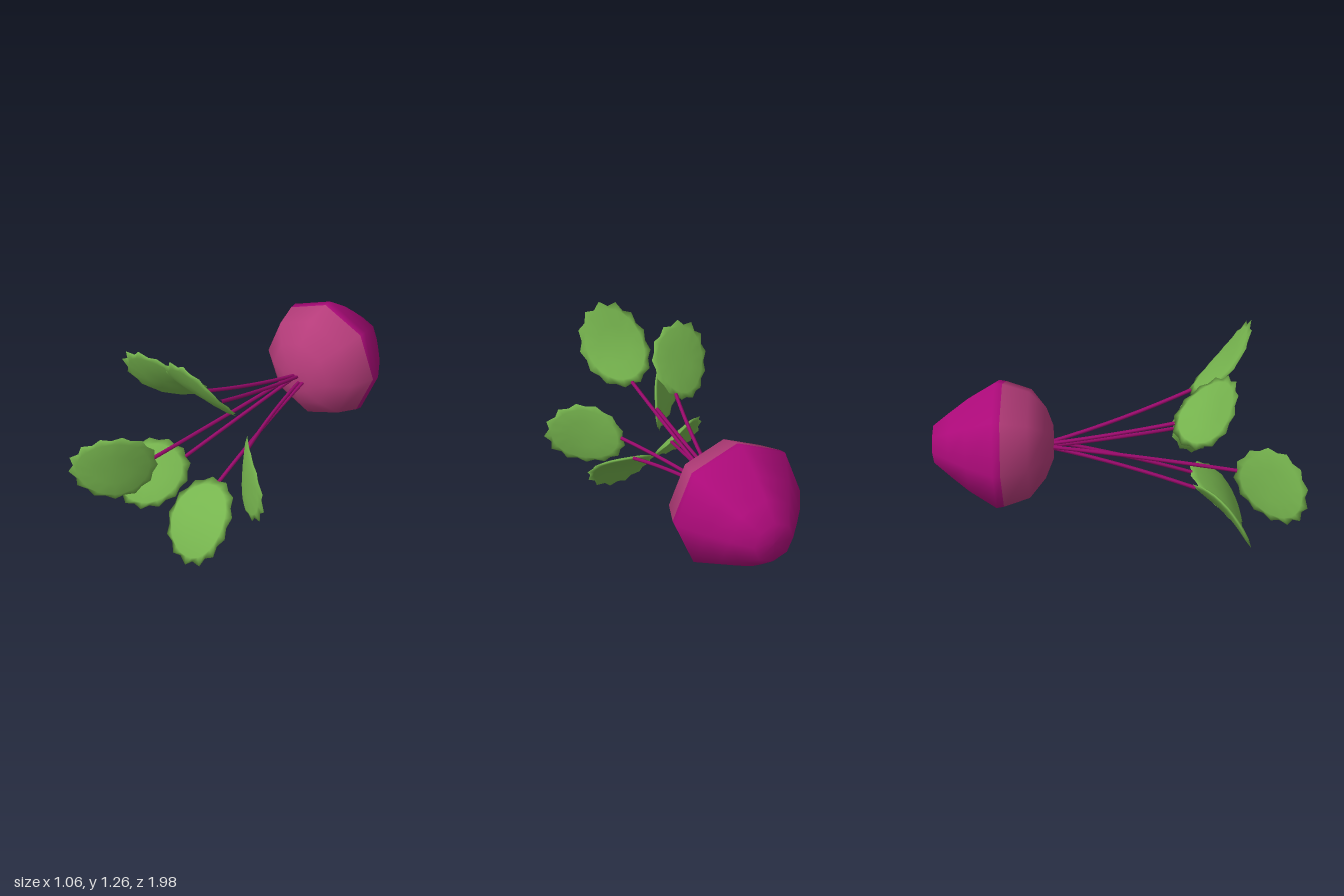
import * as THREE from 'three';

const V = (a) => new THREE.Vector3(...a);
const mat = (color, extra = {}) => {
  const m = new THREE.MeshStandardMaterial({ color, ...extra });
  return m;
};

// Eight-sided turned section of the root, lying along z; points are [radius, z]
function rootSection(name, profile, material) {
  const geo = new THREE.LatheGeometry(profile.map(([r, z]) => new THREE.Vector2(r, z)), 8);
  geo.rotateX(Math.PI / 2);
  const mesh = new THREE.Mesh(geo, material);
  mesh.name = name;
  mesh.position.set(-0.06, 0.62, 0);
  return mesh;
}

// Toothed, slightly puffed leaf that curls outward from base to tip
function leafGeometry(base, tip, across, width) {
  const teeth = 13, n = teeth * 2, bow = 0.04;
  const axis = tip.clone().sub(base);
  const length = axis.length();
  axis.normalize();
  const side = across.clone().addScaledVector(axis, -across.dot(axis)).normalize();
  const up = new THREE.Vector3().crossVectors(side, axis);
  if (up.z < 0) { up.negate(); side.negate(); }

  const pos = [], idx = [];
  const add = (k, i, lift) => {
    const a = (i / n) * Math.PI * 2;
    const t = 0.5 - 0.5 * Math.cos(a) * k;
    const v = Math.sin(a) * k * width / 2;
    const p = base.clone().addScaledVector(axis, t * length).addScaledVector(side, v)
      .addScaledVector(up, 4 * bow * t * (1 - t) + lift);
    pos.push(p.x, p.y, p.z);
  };
  // Outline: alternating tooth and notch, milder near the stem
  for (let i = 0; i < n; i++) {
    const depth = 0.07 + 0.05 * (1 - Math.cos((i / n) * Math.PI * 2)) / 2;
    add(i % 2 ? 1.03 : 1.03 - depth, i, 0);
  }
  // Inner rings and centre of both faces share the outline
  for (const s of [1, -1]) {
    const rings = [0];
    for (const [k, h] of [[0.84, 0.009], [0.45, 0.013]]) {
      rings.push(pos.length / 3);
      for (let i = 0; i < n; i++) add(k, i, s * h);
    }
    const centre = pos.length / 3;
    add(0, 0, s * 0.014);
    const tri = (a, b, c) => (s > 0 ? idx.push(a, c, b) : idx.push(a, b, c));
    for (let i = 0; i < n; i++) {
      const j = (i + 1) % n;
      for (let r = 0; r < 2; r++) {
        const o = rings[r], q = rings[r + 1];
        tri(o + i, o + j, q + j);
        tri(o + i, q + j, q + i);
      }
      tri(rings[2] + i, rings[2] + j, centre);
    }
  }
  const geo = new THREE.BufferGeometry();
  geo.setAttribute('position', new THREE.Float32BufferAttribute(pos, 3));
  geo.setIndex(idx);
  geo.computeVertexNormals();
  return geo;
}

export function createModel() {
  const group = new THREE.Group();
  const skin = mat(0xad0a7a), crown = mat(0xb53c7a);
  const stalk = mat(0x9c0a6e), green = mat(0x76b44e, { side: THREE.DoubleSide });

  // Root: darker tapering back, paler domed front
  group.add(rootSection('rootBack', [
    [0, -1], [0.11, -0.995], [0.19, -0.9], [0.27, -0.8], [0.365, -0.65], [0.358, -0.61],
  ], skin));
  group.add(rootSection('rootFront', [
    [0.358, -0.61], [0.31, -0.47], [0.2, -0.385], [0.1, -0.347], [0, -0.342],
  ], crown));

  // Each leaf: stem start, leaf base, leaf tip, width direction, width
  const leaves = [
    { from: [-0.05, 0.62, -0.36], base: [0.05, 0.87, 0.4], tip: [0.11, 1.26, 0.72], across: [1, -0.1, 0], width: 0.4 },
    { from: [-0.01, 0.6, -0.36], base: [0.04, 0.375, 0.42], tip: [0.07, 0.01, 0.74], across: [1, 0.1, 0], width: 0.41 },
    { from: [-0.04, 0.59, -0.36], base: [0.15, 0.585, 0.32], tip: [0.52, 0.54, 0.62], across: [0.1, 1, 0], width: 0.39 },
    { from: [-0.07, 0.62, -0.36], base: [-0.17, 0.79, 0.3], tip: [-0.42, 1.08, 0.6], across: [0.26, 0.25, 0.07], width: 0.39 },
    { from: [-0.09, 0.61, -0.36], base: [-0.21, 0.53, 0.64], tip: [-0.52, 0.48, 0.98], across: [0, 1, 0.1], width: 0.41 },
    { from: [-0.08, 0.6, -0.36], base: [-0.2, 0.42, 0.42], tip: [-0.48, 0.21, 0.71], across: [0.26, -0.25, 0.07], width: 0.37 },
  ];
  for (const { from, base, tip, across, width } of leaves) {
    const a = V(from), b = V(base), t = V(tip);
    // Stem leaves the root nearly straight, then bends toward the leaf
    const mid = a.clone().lerp(b, 0.42);
    mid.z += 0.07;
    const end = b.clone().addScaledVector(t.clone().sub(b), 0.03);
    const curve = new THREE.QuadraticBezierCurve3(a, mid, end);
    const stem = new THREE.Mesh(new THREE.TubeGeometry(curve, 8, 0.011, 5), stalk);
    stem.name = 'stem';
    const leaf = new THREE.Mesh(leafGeometry(b, t, V(across), width), green);
    leaf.name = 'leaf';
    group.add(stem, leaf);
  }
  return group;
}
